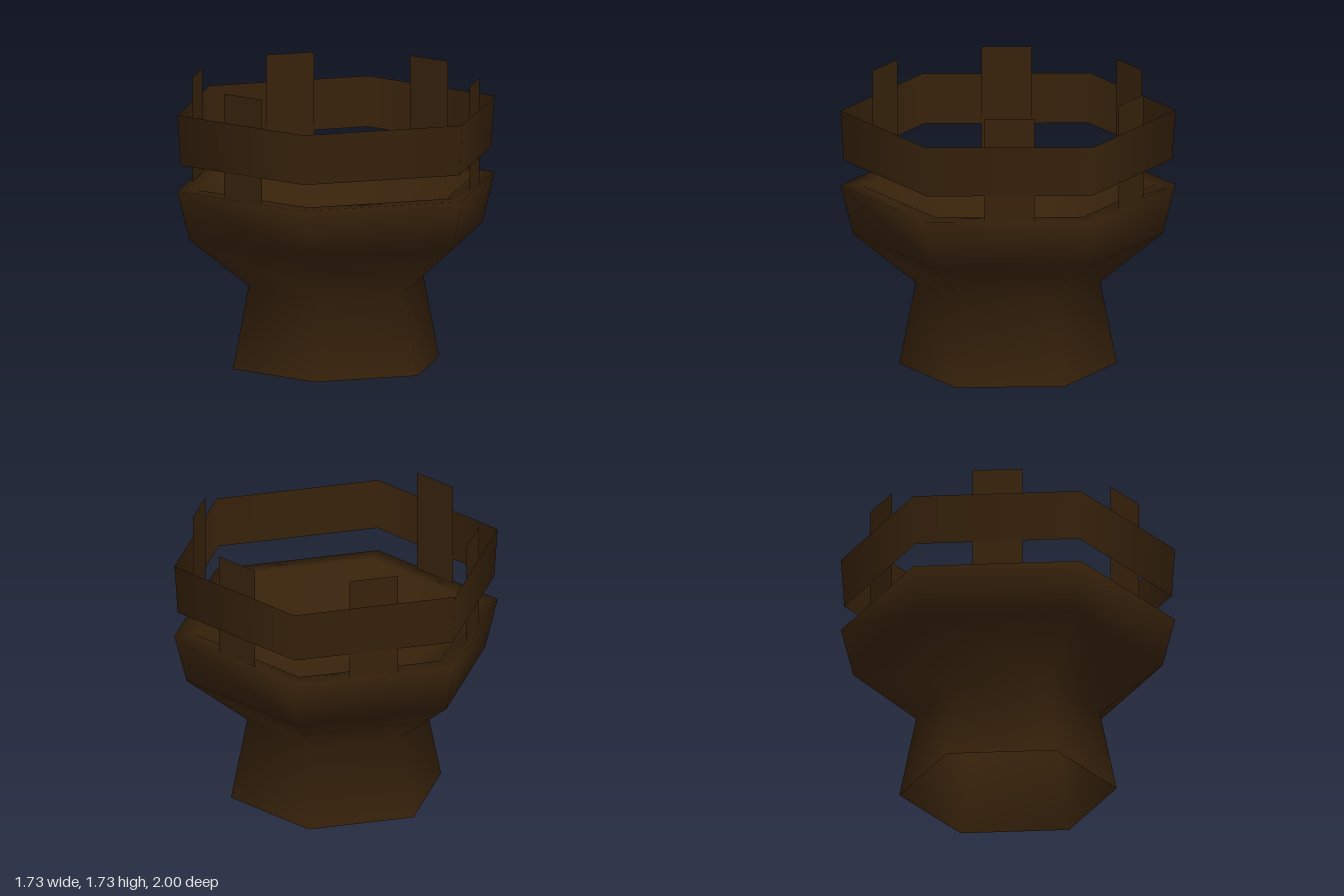
import * as THREE from 'three';

const SIDES = 6;

export function createModel() {
  const group = new THREE.Group();
  group.name = 'crowsNest';
  const wood = new THREE.MeshStandardMaterial({ color: 0x37220b, side: THREE.DoubleSide });
  wood.name = 'dark wood';

  const add = (name, geometry) => {
    const mesh = new THREE.Mesh(geometry, wood);
    mesh.name = name;
    group.add(mesh);
    return mesh;
  };

  // Smooth-shaded hexagonal shell from [radius, height] pairs, corners on the z axis
  const hexShell = (profile) =>
    new THREE.LatheGeometry(profile.map(([r, y]) => new THREE.Vector2(r, y)), SIDES);

  // Flared foot, open below, rising to the rim, then sloping in to a flat floor
  add('basket', hexShell([
    [0.65, 0], [0.55, 0.5], [0.925, 0.8], [1, 1.1],
    [0.875, 1.1], [0.47, 0.7], [0, 0.7],
  ]));

  // Guard rail around the basket
  add('rail', hexShell([[0.98, 1.255], [1, 1.56]]));

  // Flat posts inside the rail; one side is left open as the entrance
  const height = 0.63;
  for (let i = 1; i < SIDES; i++) {
    const angle = Math.PI / 6 + (i * Math.PI) / 3;
    const post = add('post' + i, new THREE.PlaneGeometry(0.3, height));
    post.position.set(Math.sin(angle) * 0.842, 1.1 + height / 2, Math.cos(angle) * 0.842);
    post.rotation.y = angle;
  }

  return group;
}
